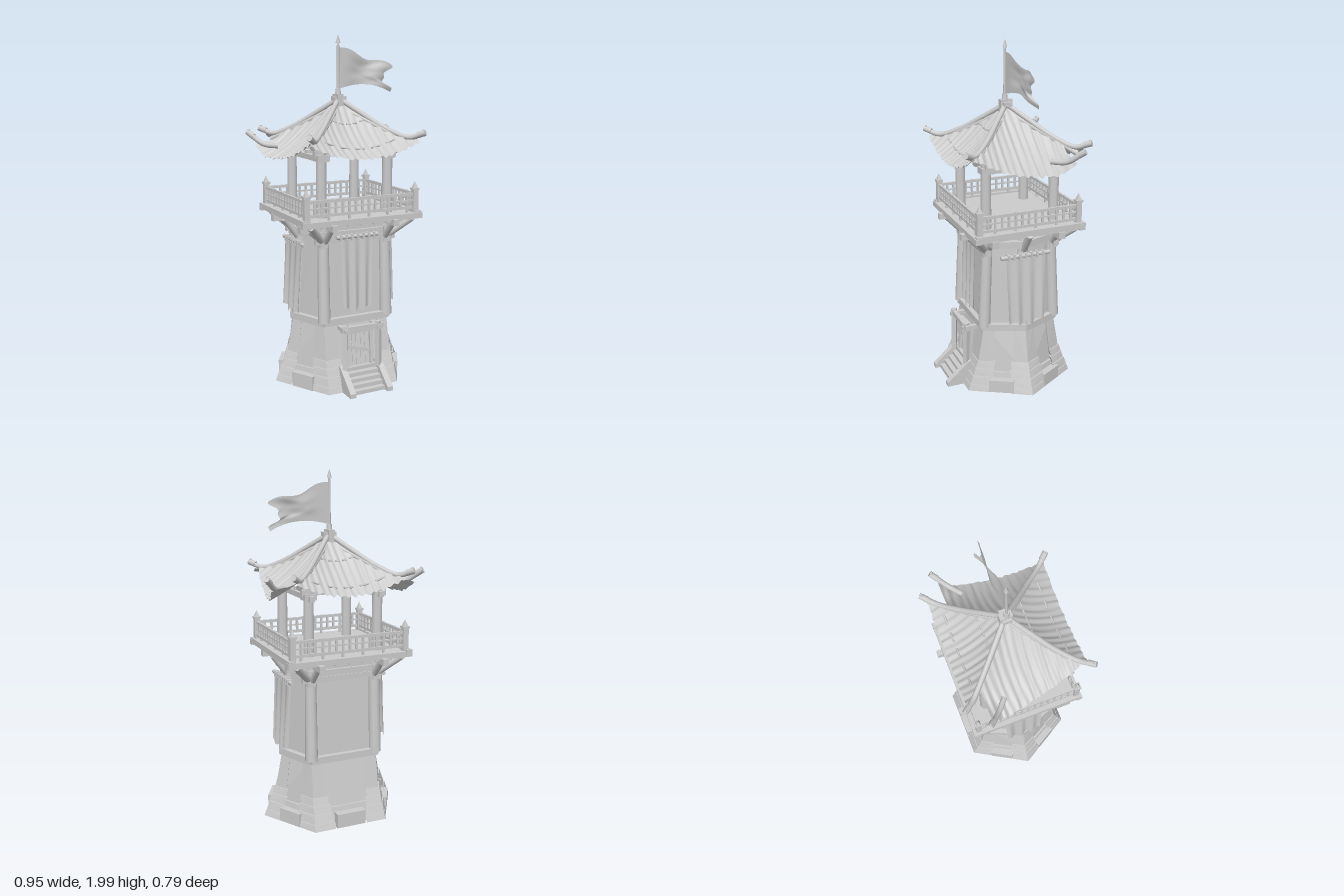
import * as THREE from 'three';
import { ConvexGeometry } from 'three/addons/geometries/ConvexGeometry.js';

const mat = new THREE.MeshStandardMaterial({ color: 0xcccccc });
const flat = new THREE.MeshStandardMaterial({ color: 0xcccccc, flatShading: true });
const thin = new THREE.MeshStandardMaterial({ color: 0xcccccc, side: THREE.DoubleSide });
const V = (x, y, z) => new THREE.Vector3(x, y, z);
const wobble = (n) => Math.sin(n * 12.9) * 0.6 + Math.sin(n * 31.7 + 1) * 0.4;

export function createModel() {
  const root = new THREE.Group();
  const tower = new THREE.Group();
  tower.name = 'watchtower';
  tower.position.z = -0.03;
  root.add(tower);

  const add = (name, geo, material = mat) => {
    const m = new THREE.Mesh(geo, material);
    m.name = name;
    tower.add(m);
    return m;
  };
  const box = (name, w, h, d, x, y, z) => {
    const m = add(name, new THREE.BoxGeometry(w, h, d));
    m.position.set(x, y, z);
    return m;
  };
  // square timber from a to b
  const beam = (name, a, b, w, h = w) => {
    const m = add(name, new THREE.BoxGeometry(w, h, a.distanceTo(b)));
    m.position.copy(a).lerp(b, 0.5);
    m.lookAt(b.clone().add(tower.position));
    return m;
  };
  // round timber from a to b
  const pole = (name, a, b, r0, r1 = r0, sides = 10) => {
    const m = add(name, new THREE.CylinderGeometry(r1, r0, a.distanceTo(b), sides));
    m.position.copy(a).lerp(b, 0.5);
    m.quaternion.setFromUnitVectors(V(0, 1, 0), b.clone().sub(a).normalize());
    return m;
  };
  // thin surface, f(u, v) gives a point for u, v in 0..1
  const sheet = (name, nu, nv, f) => {
    const g = new THREE.PlaneGeometry(1, 1, nu, nv);
    const p = g.attributes.position;
    for (let i = 0; i < p.count; i++) p.setXYZ(i, ...f(p.getX(i) + 0.5, 0.5 - p.getY(i)));
    g.computeVertexNormals();
    return add(name, g, thin);
  };
  const hull = (name, pts) => add(name, new ConvexGeometry(pts), flat);

  // six-cornered plan: front/back corners (a, b), side corners (c, 0)
  const levels = [[0, 0.22, 0.33, 0.415], [0.2, 0.212, 0.26, 0.34], [0.4, 0.205, 0.225, 0.3], [0.95, 0.2, 0.2, 0.265]];
  const plan = (y, k = 1) => {
    let i = 0;
    while (i < 2 && y > levels[i + 1][0]) i++;
    const t = (y - levels[i][0]) / (levels[i + 1][0] - levels[i][0]);
    const [a, b, c] = [1, 2, 3].map((j) => THREE.MathUtils.lerp(levels[i][j], levels[i + 1][j], t) * k);
    return [V(a, y, b), V(c, y, 0), V(a, y, -b), V(-a, y, -b), V(-c, y, 0), V(-a, y, b)];
  };

  // walls
  hull('foundation', [...plan(0.01, 0.9), ...plan(0.12, 0.95)]);
  hull('lowerWall', [...plan(0.1, 0.9), ...plan(0.4, 0.94)]);
  hull('upperWall', [...plan(0.4, 0.94), ...plan(0.95, 0.94)]);

  // stone corner piers, each course a wedge wrapped round its corner
  const wedge = (ring, i, len) => {
    const p = ring[i];
    const e1 = ring[(i + 1) % 6].clone().sub(p).setLength(len);
    const e2 = ring[(i + 5) % 6].clone().sub(p).setLength(len);
    return [p, p.clone().add(e1), p.clone().add(e1).add(e2), p.clone().add(e2)];
  };
  const courses = [[0.01, 0.05, 1, 0.12], [0.05, 0.1, 1, 0.112], [0.1, 0.145, 0.99, 0.105], [0.145, 0.19, 0.99, 0.095]];
  for (let i = 0; i < 6; i++) {
    courses.forEach(([y0, y1, k, len], j) => {
      const l = len + 0.008 * wobble(i * 3 + j);
      hull('stoneCourse', [...wedge(plan(y0, k), i, l), ...wedge(plan(y1 - 0.004, k), i, l)]);
    });
    hull('pier', [...wedge(plan(0.185, 0.97), i, 0.085), ...wedge(plan(0.4, 0.98), i, 0.065)]);
    // base stones, waist band, top band and leaning posts
    const n = (i + 1) % 6;
    if (i !== 5) {
      const s = plan(0.05, 0.96);
      beam('baseStone', s[i].clone().lerp(s[n], 0.3), s[i].clone().lerp(s[n], 0.72), 0.05, 0.07 + 0.015 * wobble(i));
    }
    beam('waistBand', plan(0.4, 1)[i], plan(0.4, 1)[n], 0.03, 0.04);
    beam('topBand', plan(0.9, 1)[i], plan(0.9, 1)[n], 0.035, 0.04);
    const k = i % 3 === 1 ? 0.9 : 0.97;
    pole('wallPost', plan(0.4, k)[i], plan(0.96, k)[i], 0.036, 0.031);
  }

  // steps and doorway
  for (const s of [-1, 1]) {
    const shape = new THREE.Shape([[0.22, 0.01], [0.425, 0.01], [0.425, 0.035], [0.29, 0.15], [0.22, 0.15]].map((p) => new THREE.Vector2(...p)));
    const m = add('stairStringer', new THREE.ExtrudeGeometry(shape, { depth: 0.035, bevelEnabled: false }));
    m.rotation.y = -Math.PI / 2;
    m.position.x = s * 0.118 + 0.0175;
    beam('doorPost', V(s * 0.108, 0.12, 0.3), V(s * 0.105, 0.39, 0.295), 0.028);
    beam('doorSideRail', V(s * 0.105, 0.36, 0.2), V(s * 0.105, 0.36, 0.32), 0.022);
    beam('innerDoorPost', V(s * 0.08, 0.12, 0.27), V(s * 0.08, 0.34, 0.25), 0.02);
  }
  for (let i = 0; i < 5; i++) box('step', 0.2, 0.022, 0.05, 0, 0.022 + i * 0.025, 0.37 - i * 0.027);
  beam('doorLintel', V(-0.13, 0.368, 0.296), V(0.135, 0.365, 0.296), 0.026, 0.03);
  beam('innerLintel', V(-0.09, 0.335, 0.256), V(0.09, 0.335, 0.256), 0.02);
  for (let i = 0; i < 5; i++) {
    const x = -0.056 + i * 0.028;
    beam('doorPlank', V(x, 0.12, 0.262), V(x + 0.004 * wobble(i), 0.33, 0.236), 0.025, 0.012);
  }
  beam('doorBrace', V(-0.07, 0.25, 0.258), V(0.07, 0.21, 0.262), 0.015, 0.02);

  // hanging cloths with folds and torn hems
  const cloth = (name, width, top, bottom, place) =>
    sheet(name, 28, 10, (u, v) => {
      const hem = bottom + 0.016 * wobble(u * 0.8) + 0.03 * Math.abs(Math.sin(u * 8 + 0.6));
      return place((u - 0.5) * width * (1 - 0.1 * v), THREE.MathUtils.lerp(top, hem, v), 0.007 * Math.sin(u * 19) * (0.4 + v), v);
    });
  cloth('frontBanner', 0.2, 0.89, 0.44, (s, y, f, v) => [s, y, 0.232 + f + 0.012 * v]);
  pole('frontBannerRod', V(-0.13, 0.888, 0.235), V(0.13, 0.888, 0.235), 0.012);
  for (const s of [-1, 1]) {
    cloth('sideBanner', 0.24, 0.845, 0.415, (w, y, f, v) => [s * (0.29 + f + 0.022 * v), y, w]);
    pole('sideBannerRod', V(s * 0.285, 0.84, -0.15), V(s * 0.285, 0.84, 0.15), 0.012);
  }
  for (let i = 0; i < 7; i++) {
    const q = -0.105 + i * 0.035;
    box('bannerTie', 0.012, 0.035, 0.03, q, 0.885, 0.235);
    for (const s of [-1, 1]) box('bannerTie', 0.03, 0.035, 0.012, s * 0.285, 0.838, q);
  }

  // platform and joists
  box('deck', 0.68, 0.02, 0.63, 0, 0.995, 0);
  for (const s of [-1, 1]) {
    beam('deckEdge', V(-0.372, 0.99, s * 0.31), V(0.372, 0.99, s * 0.31), 0.035, 0.032);
    beam('deckEdge', V(s * 0.352, 1, -0.33), V(s * 0.352, 1, 0.32), 0.035, 0.032);
    beam('crossBeam', V(-0.34, 0.945, s * 0.2), V(0.34, 0.945, s * 0.2), 0.04);
    beam('longBeam', V(s * 0.19, 0.965, -0.36), V(s * 0.19, 0.965, 0.35), 0.035);
    beam('plate', V(-0.25, 0.87, s * 0.21), V(0.25, 0.87, s * 0.21), 0.03);
    // diagonal struts and corner bracket posts
    for (const t of [-1, 1]) {
      pole('strut', V(s * 0.2, 0.86, t * 0.2), V(s * 0.315, 0.975, t * 0.3), 0.02);
      pole('strut', V(s * 0.2, 0.86, t * 0.2), V(s * 0.3, 0.96, t * 0.2), 0.018);
      pole('strut', V(s * 0.19, 0.86, t * 0.21), V(s * 0.19, 0.965, t * 0.31), 0.018);
      box('bracket', 0.05, 0.09, 0.05, s * 0.2, 0.88, t * 0.205);
      // roof posts with collars
      pole('roofPost', V(s * 0.207, 1, t * 0.205), V(s * 0.207, 1.38, t * 0.205), 0.032, 0.029, 8);
      box('postCollar', 0.07, 0.035, 0.07, s * 0.207, 1.335, t * 0.205);
      // railing corner posts
      box('railPost', 0.032, 0.15, 0.032, s * 0.338, 1.065, t * 0.295);
      box('railPostCap', 0.04, 0.012, 0.04, s * 0.338, 1.14, t * 0.295);
      const cap = add('railPostPoint', new THREE.ConeGeometry(0.02, 0.04, 4), flat);
      cap.position.set(s * 0.338, 1.165, t * 0.295);
      cap.rotation.y = Math.PI / 4;
    }
    pole('strut', V(s * 0.255, 0.86, 0), V(s * 0.34, 0.975, 0), 0.02);
  }
  for (let i = 0; i < 9; i++) {
    const x = -0.32 + i * 0.08;
    beam('joist', V(x, 0.972, -0.31), V(x, 0.972, 0.31), 0.022);
  }

  // railings
  const railing = (a, b, count) => {
    const up = (p, y) => V(p.x, y, p.z);
    for (const y of [1.035, 1.075, 1.112]) beam('rail', up(a, y), up(b, y), 0.014, y === 1.075 ? 0.008 : 0.016);
    for (let i = 1; i < count; i++) {
      const p = a.clone().lerp(b, (i + 0.2 * wobble(i)) / count);
      box('baluster', 0.012, i % 3 ? 0.077 : 0.117, 0.012, p.x, i % 3 ? 1.0735 : 1.0635, p.z);
    }
  };
  for (const s of [-1, 1]) {
    railing(V(-0.338, 0, s * 0.295), V(0.338, 0, s * 0.295), 16);
    railing(V(s * 0.338, 0, -0.295), V(s * 0.338, 0, 0.295), 14);
  }

  // roof frame
  for (const s of [-1, 1]) {
    beam('tieBeam', V(-0.25, 1.358, s * 0.205), V(0.25, 1.358, s * 0.205), 0.032);
    beam('tieBeam', V(s * 0.207, 1.328, -0.26), V(s * 0.207, 1.328, 0.23), 0.03);
    for (const t of [-1, 1]) pole('hipRafter', V(s * 0.02, 1.59, t * 0.02), V(s * 0.3, 1.4, t * 0.3), 0.016);
  }
  beam('centreTie', V(-0.21, 1.345, 0), V(0.21, 1.345, 0), 0.03);
  pole('kingPost', V(0, 1.34, 0), V(0, 1.62, 0), 0.02);

  // sagging roof slopes: s runs along the eave, d out from the peak
  const ridgeY = (d) => { const r = d / 0.34; return 1.64 - 0.34 * r + 0.125 * r * r; };
  const slopeY = (s, d) => ridgeY(d) - 0.088 * (d / 0.34) * (1 - Math.min(1, (s / Math.max(d, 0.001)) ** 2));
  const slope = (name, s0, s1, eave, place) =>
    sheet(name, 80, 14, (u, v) => {
      const s = THREE.MathUtils.lerp(s0, s1, u);
      const d = THREE.MathUtils.lerp(Math.abs(s), eave(s) + 0.004 * wobble(u * 3), v);
      return place(s, slopeY(s, d) + 0.005 * Math.sin(s * 150 + 2 * Math.sin(d * 9)) + 0.003 * wobble(u * 4), d);
    });
  slope('frontSlope', -0.33, 0.33, () => 0.35, (s, y, d) => [s, y, d]);
  slope('backSlope', -0.32, 0.32, () => 0.33, (s, y, d) => [s, y, -d]);
  for (const k of [-1, 1]) {
    // side slopes widen to the back and lift towards the horns
    const lift = (s, d) => 0.04 * THREE.MathUtils.smoothstep(-s, 0.14, 0.235) * THREE.MathUtils.smoothstep(d, 0.28, 0.42);
    slope('sideSlope', -0.235, 0.32, (s) => 0.378 - 0.2 * s, (s, y, d) => [k * d, y + lift(s, d), s]);
    // battens on the slopes
    for (const d of [0.12, 0.27]) {
      for (let j = -2; j <= 2; j++) {
        const s = j * d * 0.35, h = d * 0.1;
        pole('batten', V(s - h, slopeY(s - h, d) + 0.002, k * d), V(s + h, slopeY(s + h, d) + 0.002, k * d), 0.006, 0.006, 6);
      }
    }
  }

  // upturned hips with carved ends
  const hip = (name, pts, r) => {
    add(name, new THREE.TubeGeometry(new THREE.CatmullRomCurve3(pts), 24, r, 8));
    const [p, e] = pts.slice(-2);
    const out = e.clone().sub(p).normalize();
    pole(name + 'End', e.clone().addScaledVector(out, -0.035), e.clone().addScaledVector(out, 0.012), r * 1.2, r * 1.1, 8);
    pole(name + 'Knob', e, e.clone().add(V(0, 0.022, 0)), r * 0.8, r * 0.4, 6);
  };
  for (const s of [-1, 1]) {
    for (const t of [-1, 1]) {
      const k = t > 0 ? 1.04 : 1;
      hip('hip', [V(0, 1.645, 0), V(s * 0.1, 1.56, t * 0.1), V(s * 0.2, 1.48, t * 0.2), V(s * 0.29, 1.435, t * 0.29 * k), V(s * 0.345, 1.46, t * 0.35 * k)], 0.015);
    }
    hip('sideHorn', [V(s * 0.32, 1.375, -0.13), V(s * 0.39, 1.385, -0.19), V(s * 0.455, 1.445, -0.255)], 0.015);
  }

  // peak block, flagpole and torn flag
  box('peakBlock', 0.075, 0.025, 0.05, 0, 1.645, 0);
  box('peakCap', 0.036, 0.07, 0.07, -0.004, 1.635, 0);
  pole('flagpole', V(-0.006, 1.65, 0.005), V(-0.006, 1.96, 0.005), 0.009, 0.007);
  pole('poleSocket', V(-0.006, 1.66, 0.005), V(-0.006, 1.7, 0.005), 0.018, 0.014);
  pole('poleTip', V(-0.006, 1.955, 0.005), V(-0.006, 2, 0.005), 0.014, 0.001, 6);
  sheet('flag', 24, 20, (u, v) => {
    const length = 0.35 + 0.02 * v - 0.065 * Math.sin(v * Math.PI) ** 2 + 0.012 * Math.sin(v * 17);
    const top = 1.93 - 0.1 * u + 0.012 * Math.sin(u * 9);
    const low = 1.7 - 0.025 * u + 0.035 * Math.sin(u * Math.PI);
    return [u * length, THREE.MathUtils.lerp(top, low, v), 0.005 - 0.03 * u + 0.018 * u * Math.sin(u * 8 + v * 2)];
  });
  return root;
}
